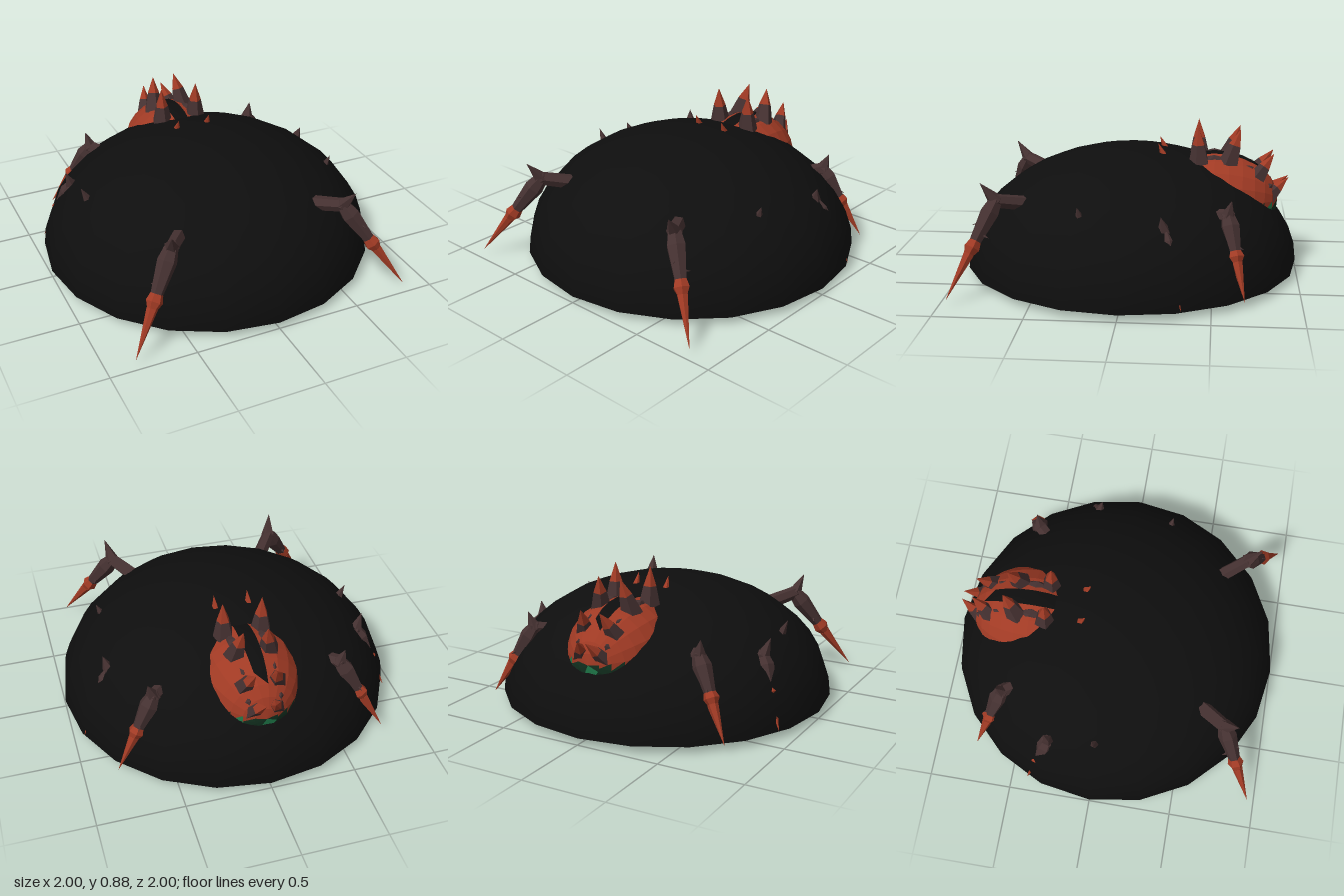
import * as THREE from 'three';

const paint = (name, color, extra = {}) => {
  const m = new THREE.MeshStandardMaterial({ color, ...extra });
  m.name = name;
  return m;
};
const V = (p) => new THREE.Vector3(...p);
const UP = new THREE.Vector3(0, 1, 0);

export function createModel() {
  const black = paint('black', 0x0e0e0e, { side: THREE.DoubleSide });
  const brown = paint('darkBrown', 0x453131, { flatShading: true });
  const red = paint('rustRed', 0xa03a24, { flatShading: true });
  const green = paint('green', 0x1f7a4a, { flatShading: true });
  const deepGreen = paint('deepGreen', 0x12301f, { flatShading: true });

  const model = new THREE.Group();
  const add = (parent, name, geo, mat) => {
    const m = new THREE.Mesh(geo, mat);
    m.name = name;
    parent.add(m);
    return m;
  };
  // Tapered low-poly segment running from a to b
  const segment = (parent, name, a, b, ra, rb, mat, sides = 6) => {
    const d = b.clone().sub(a);
    const m = add(parent, name, new THREE.CylinderGeometry(rb, ra, d.length(), sides), mat);
    m.position.copy(a).addScaledVector(d, 0.5);
    m.quaternion.setFromUnitVectors(UP, d.normalize());
    return m;
  };
  const ball = (parent, name, p, sx, sy, sz, mat, detail = 1) => {
    const m = add(parent, name, new THREE.IcosahedronGeometry(1, detail), mat);
    m.position.set(...p);
    m.scale.set(sx, sy, sz);
    return m;
  };
  // Brown spike with a red tip
  const spike = (parent, a, b, r, split) => {
    const mid = a.clone().lerp(b, split);
    segment(parent, 'spikeBase', a, mid, r, r * 0.6, brown, 5);
    segment(parent, 'spikeTip', mid, b, r * 0.6, 0, red, 5);
  };

  // Open flattened dome over the body
  const domeGeo = new THREE.SphereGeometry(1, 20, 10, 0, Math.PI * 2, 0, Math.PI / 2);
  domeGeo.scale(1, 0.695, 1);
  add(model, 'dome', domeGeo, black).position.y = 0.04;

  // Abdomen: pole along z, red shell above, dark ridge on top, mottled green belly
  const around = 20, rings = 14;
  const g = new THREE.SphereGeometry(1, around, rings).toNonIndexed();
  g.rotateX(Math.PI / 2);
  g.rotateZ(Math.PI / around);
  g.scale(0.3, 0.29, 0.38);
  const p = g.attributes.position;
  for (let i = 0; i < p.count; i += 3) {
    const [x, y, z] = ['getX', 'getY', 'getZ'].map((f) => (p[f](i) + p[f](i + 1) + p[f](i + 2)) / 3);
    let k = 0;
    if (y > 0.1 && Math.abs(x) < 0.04 && z > -0.27) k = 1;
    else if (y < 0) k = Math.sin(x * 42 + z * 12) * Math.sin(z * 40 - x * 10) > -0.25 ? 3 : 2;
    g.addGroup(i, 3, k);
  }
  add(model, 'abdomen', g, [red, black, green, deepGreen]).position.set(0, 0.42, -0.5);

  // Two rows of back spikes: base, tip, radius
  const backSpikes = [
    [[0.1, 0.63, -0.23], [0.1, 0.775, -0.165], 0.045, 0.4],
    [[0.11, 0.66, -0.41], [0.115, 0.885, -0.4], 0.065, 0.5],
    [[0.1, 0.65, -0.58], [0.07, 0.86, -0.65], 0.065, 0.55],
    [[0.1, 0.56, -0.74], [0.06, 0.715, -0.85], 0.06, 0.5],
    [[0.08, 0.44, -0.81], [0.025, 0.565, -0.94], 0.055, 0.5],
  ];
  for (const s of [-1, 1]) {
    const row = new THREE.Group();
    row.name = s > 0 ? 'leftBackSpikes' : 'rightBackSpikes';
    model.add(row);
    for (const [a, b, r, split] of backSpikes) {
      spike(row, V([a[0] * s, a[1], a[2]]), V([b[0] * s, b[1], b[2]]), r, split);
    }
    // Plates filling the ridge between the spikes
    for (let i = 1; i < 4; i++) {
      const q = backSpikes[i][0], n = backSpikes[i + 1][0];
      ball(row, 'ridgePlate', [s * 0.09, (q[1] + n[1]) / 2 + 0.015, (q[2] + n[2]) / 2], 0.035, 0.04, 0.08, brown, 0);
    }
  }

  // Front body and head
  ball(model, 'thorax', [0, 0.38, 0.02], 0.16, 0.09, 0.22, brown);
  ball(model, 'head', [0, 0.38, 0.18], 0.1, 0.08, 0.11, brown);
  segment(model, 'waist', V([0, 0.4, -0.12]), V([0, 0.42, -0.25]), 0.07, 0.09, brown);
  for (const s of [-1, 1]) {
    segment(model, 'jaw', V([0.045 * s, 0.37, 0.23]), V([0.05 * s, 0.29, 0.28]), 0.04, 0.03, brown);
    segment(model, 'fang', V([0.05 * s, 0.29, 0.28]), V([0.03 * s, 0.22, 0.26]), 0.022, 0, red, 5);
    segment(model, 'feelerArm', V([0.08 * s, 0.37, 0.16]), V([0.145 * s, 0.31, 0.24]), 0.03, 0.025, brown);
    ball(model, 'feelerBulb', [0.145 * s, 0.3, 0.25], 0.06, 0.065, 0.06, green);
  }

  // Legs: knee, foot tip, knee spike tip, hip z
  const legs = [
    ['frontLeftLeg', [0.53, 0.52, 0.73], [0.84, 0.03, 0.96], [0.56, 0.63, 0.81], 0.14],
    ['frontRightLeg', [-0.53, 0.52, 0.73], [-0.84, 0.03, 0.96], [-0.56, 0.63, 0.81], 0.14],
    ['secondLeftLeg', [0.68, 0.43, 0.22], [0.8, 0, 0.25], [0.73, 0.55, 0.24], 0.06],
    ['secondRightLeg', [-0.73, 0.43, 0], [-0.85, 0, -0.02], [-0.79, 0.56, 0], 0.05],
    ['thirdLeftLeg', [0.75, 0.42, -0.24], [0.945, 0.05, -0.34], [0.78, 0.52, -0.22], -0.02],
    ['thirdRightLeg', [-0.76, 0.42, -0.28], [-0.925, 0.05, -0.4], [-0.8, 0.53, -0.26], -0.03],
    ['rearLeftLeg', [0.57, 0.47, -0.58], [0.81, 0.06, -0.68], [0.6, 0.57, -0.6], -0.09],
    ['rearRightLeg', [-0.53, 0.48, -0.6], [-0.765, 0.06, -0.75], [-0.55, 0.58, -0.62], -0.09],
  ];
  for (const [name, k, t, sp, hz] of legs) {
    const leg = new THREE.Group();
    leg.name = name;
    model.add(leg);
    const s = Math.sign(k[0]), knee = V(k), tip = V(t);
    const hip = V([0.11 * s, 0.36, hz]);
    const at = (f) => knee.clone().lerp(tip, f);
    const thigh = (f) => hip.clone().lerp(knee, f);
    segment(leg, 'hip', hip, thigh(0.14), 0.04, 0.032, brown);
    segment(leg, 'hipCollar', thigh(0.14), thigh(0.19), 0.042, 0.042, red);
    segment(leg, 'thighLower', thigh(0.19), thigh(0.7), 0.03, 0.045, brown);
    segment(leg, 'thighUpper', thigh(0.7), knee, 0.045, 0.04, brown);
    ball(leg, 'knee', k, 0.045, 0.045, 0.045, brown, 0);
    segment(leg, 'kneeSpike', knee, V(sp), 0.045, 0, brown, 5);
    segment(leg, 'shinUpper', knee, at(0.12), 0.04, 0.056, brown);
    segment(leg, 'shinLower', at(0.12), at(0.43), 0.056, 0.034, brown);
    segment(leg, 'ankle', at(0.41), at(0.48), 0.036, 0.048, red);
    segment(leg, 'ankleTaper', at(0.48), at(0.54), 0.048, 0.03, red);
    segment(leg, 'foot', at(0.54), tip, 0.032, 0, red);
    // Small thorns along the shin
    for (const [f, dz] of [[0.2, 0.07], [0.33, -0.06]]) {
      const a = at(f);
      segment(leg, 'thorn', a, a.clone().add(V([0.03 * s, -0.02, dz])), 0.018, 0, brown, 4);
    }
  }
  return model;
}
